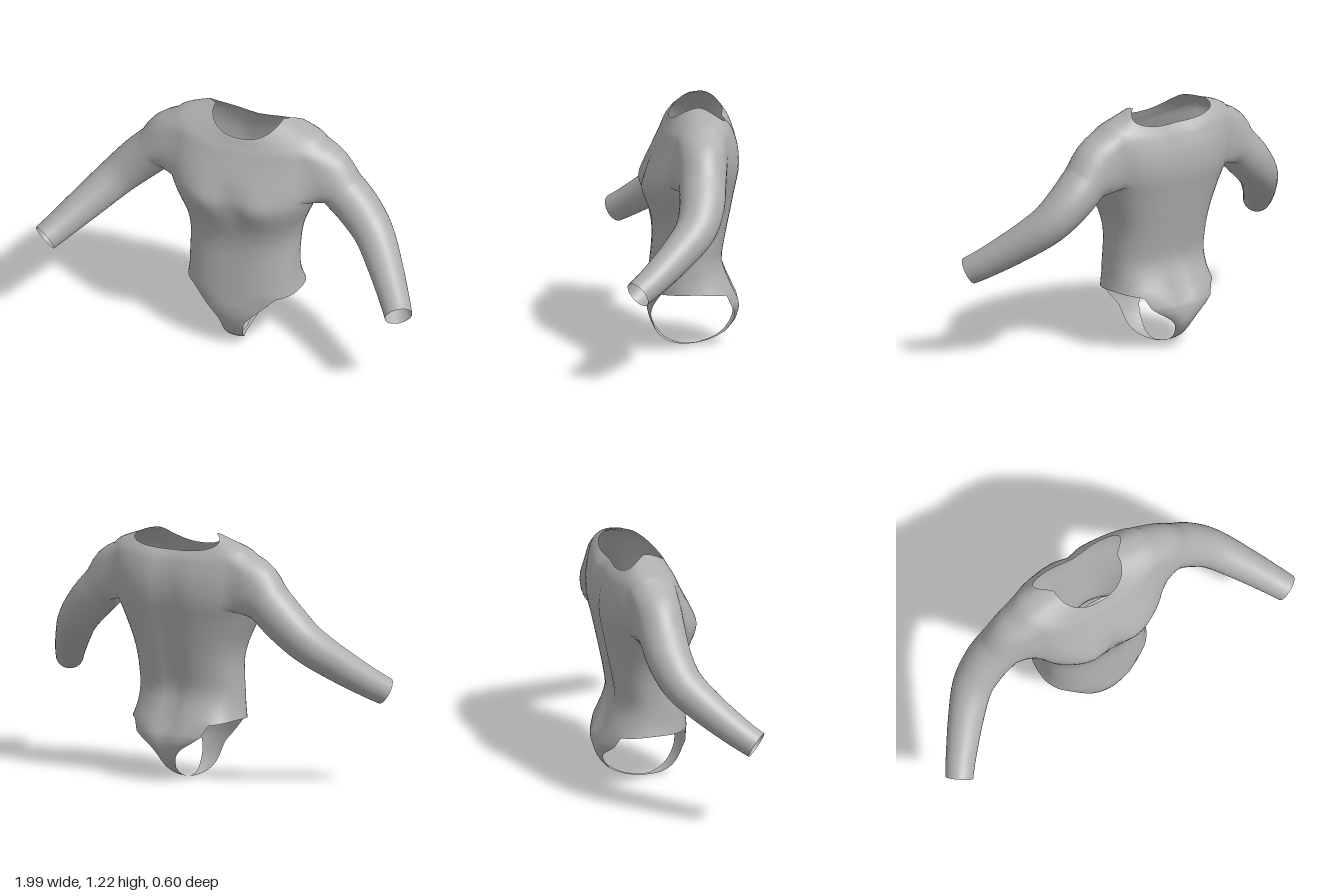
import * as THREE from 'three';

const COLS = 48; // points around the torso; 0 = left side, 12 = front, 24 = right side, 36 = back
const ARM = 5; // half width of the armhole in columns
const HOLE = [16, 24]; // first and last torso row of the armhole
const STRIP = 6; // half width of the crotch strip in columns

// Torso sections: side y, front y, back y, half width, front z, back z, back corner flare
const TORSO = [
  [0.305, 0.29, 0.275, 0.29, 0.146, -0.28, 0],
  [0.36, 0.36, 0.36, 0.279, 0.14, -0.242, 0],
  [0.44, 0.44, 0.44, 0.275, 0.132, -0.217, 0],
  [0.52, 0.52, 0.52, 0.275, 0.125, -0.226, 0],
  [0.6, 0.6, 0.6, 0.28, 0.126, -0.241, 0],
  [0.68, 0.68, 0.68, 0.3, 0.142, -0.257, 0],
  [0.76, 0.76, 0.76, 0.335, 0.166, -0.272, 0],
  [0.82, 0.82, 0.82, 0.362, 0.176, -0.284, 0],
  [0.87, 0.87, 0.87, 0.385, 0.165, -0.294, 0],
  [0.93, 0.93, 0.93, 0.4, 0.143, -0.3, 0],
  [1.0, 0.99, 0.99, 0.41, 0.115, -0.296, 0],
  [1.07, 1.04, 1.04, 0.41, 0.09, -0.286, 0],
  [1.135, 1.08, 1.08, 0.395, 0.072, -0.272, 0.01],
  [1.17, 1.1, 1.1, 0.34, 0.06, -0.264, 0.035],
  [1.195, 1.12, 1.12, 0.26, 0.05, -0.252, 0.07],
  [1.22, 1.14, 1.14, 0.18, 0.04, -0.235, 0.1],
];

// Sleeve sections: centre x, y, z, front radius, up radius
const SLEEVE = [
  [0.49, 0.9, -0.093, 0.115, 0.112],
  [0.58, 0.815, -0.085, 0.11, 0.108],
  [0.68, 0.715, -0.045, 0.1, 0.097],
  [0.785, 0.61, 0.06, 0.086, 0.086],
  [0.885, 0.513, 0.18, 0.074, 0.074],
  [0.937, 0.465, 0.25, 0.068, 0.068],
];

// Crotch strip sections from front to back: y, z, half width, inward bow, crease
const CROTCH = [
  [0.25, 0.152, 0.16, 0.035, 0],
  [0.2, 0.151, 0.115, 0.02, 0],
  [0.15, 0.141, 0.07, 0.01, 0],
  [0.1, 0.122, 0.055, 0.006, 0],
  [0.05, 0.09, 0.045, 0.004, 0],
  [0.012, 0.035, 0.027, 0.003, 0],
  [0.0, -0.05, 0.008, 0, 0],
  [0.02, -0.15, 0.012, 0, 0],
  [0.06, -0.235, 0.03, 0.006, 0.003],
  [0.12, -0.288, 0.055, 0.018, 0.008],
  [0.16, -0.304, 0.09, 0.03, 0.013],
  [0.2, -0.31, 0.145, 0.045, 0.018],
  [0.24, -0.303, 0.19, 0.052, 0.02],
];

// Smooth interpolation through a list of sections
function sample(keys, t) {
  const last = keys.length - 1;
  const i = Math.min(Math.floor(t), last - 1), f = t - i;
  const k = (n) => keys[Math.max(0, Math.min(last, n))];
  return keys[i].map((b, c) => {
    const a = k(i - 1)[c], d = k(i + 1)[c], e = k(i + 2)[c];
    return b + 0.5 * f * (d - a + f * (2 * a - 5 * b + 4 * d - e + f * (3 * (b - d) + e - a)));
  });
}

const bell = (v, width) => Math.exp(-((v / width) ** 2));
const soft = (v) => Math.sign(v) * Math.abs(v) ** 0.83;

function torsoPoint(row, col) {
  const [ys, yf, yb, w, zf, zb, flare] = sample(TORSO, row / 2);
  const a = (col / COLS) * Math.PI * 2;
  const c = Math.cos(a), s = Math.sin(a);
  const y = ys + ((s > 0 ? yf : yb) - ys) * Math.abs(s) ** 1.5;
  let x = w * soft(c);
  let z = (zf + zb) / 2 + ((zf - zb) / 2) * soft(s);
  if (s > 0) {
    // chest
    z += bell(y - 0.82, 0.09) * s * (0.016 * bell(Math.abs(x) - 0.14, 0.09) - 0.022 * bell(x, 0.06));
  } else {
    // spine groove and wide back of the neckline
    z += 0.02 * bell(x, 0.05) * s * s;
    x += flare * Math.sign(c) * Math.abs(Math.sin(2 * a));
  }
  return new THREE.Vector3(x, y, z);
}

function sleevePoint(t, phi) {
  const [x, y, z, rf, ru] = sample(SLEEVE, t);
  const end = SLEEVE.length - 1;
  const p0 = sample(SLEEVE, Math.max(0, t - 0.1)), p1 = sample(SLEEVE, Math.min(end, t + 0.1));
  const along = new THREE.Vector3(p1[0] - p0[0], p1[1] - p0[1], p1[2] - p0[2]).normalize();
  const front = new THREE.Vector3(0, 0, 1).addScaledVector(along, -along.z).normalize();
  const up = front.clone().cross(along);
  return new THREE.Vector3(x, y, z)
    .addScaledVector(front, rf * Math.cos(phi))
    .addScaledVector(up, ru * Math.sin(phi));
}

export function createModel() {
  const points = [], index = [];
  const add = (p) => points.push(p) - 1;
  const quad = (a, b, c, d) => index.push(a, b, c, a, c, d);

  // Torso rings, leaving out the two armholes
  const rows = (TORSO.length - 1) * 2;
  for (let r = 0; r <= rows; r++) for (let j = 0; j < COLS; j++) add(torsoPoint(r, j));
  const at = (r, j) => r * COLS + ((j + COLS) % COLS);
  for (let r = 0; r < rows; r++) {
    for (let j = 0; j < COLS; j++) {
      const open = r >= HOLE[0] && r < HOLE[1] && (j + ARM) % 24 < 2 * ARM;
      if (!open) quad(at(r, j), at(r + 1, j), at(r + 1, j + 1), at(r, j + 1));
    }
  }

  // Armhole edge as [row, column, angle], running bottom, front, top, back
  const edge = [];
  const [low, high] = HOLE, tall = high - low, wide = 2 * ARM, q = Math.PI / 2;
  for (let i = 0; i < wide; i++) edge.push([low, i - ARM, q * (i / wide - 1.5)]);
  for (let i = 0; i < tall; i++) edge.push([low + i, ARM, q * (i / tall - 0.5)]);
  for (let i = 0; i < wide; i++) edge.push([high, ARM - i, q * (i / wide + 0.5)]);
  for (let i = 0; i < tall; i++) edge.push([high - i, -ARM, q * (i / tall + 1.5)]);

  // Sleeves grow out of the armholes, mirrored left and right
  for (const side of [1, -1]) {
    let ring = edge.map(([r, j]) => at(r, side > 0 ? j : 24 - j));
    const grow = (place) => {
      const next = edge.map((e) => {
        const p = place(e);
        p.x *= side;
        return add(p);
      });
      for (let i = 0; i < ring.length; i++) {
        const n = (i + 1) % ring.length;
        if (side > 0) quad(ring[i], next[i], next[n], ring[n]);
        else quad(ring[i], ring[n], next[n], next[i]);
      }
      ring = next;
    };
    // shoulder blend
    for (const f of [0.25, 0.5, 0.75]) {
      grow(([r, j, phi]) => {
        const p = torsoPoint(r, j).lerp(sleevePoint(0, phi), f);
        const lift = 0.018 * Math.sin(Math.PI * f) * Math.max(0, Math.sin(phi));
        return p.add(new THREE.Vector3(lift, lift, 0));
      });
    }
    // arm
    const steps = (SLEEVE.length - 1) * 4;
    for (let k = 0; k <= steps; k++) grow(([, , phi]) => sleevePoint(k / 4, phi));
  }

  // Crotch strip from the front hem to the back hem
  const span = Array.from({ length: 2 * STRIP + 1 }, (_, i) => i - STRIP);
  const reach = soft(Math.sin((STRIP / COLS) * Math.PI * 2));
  let line = span.map((i) => at(0, 12 + i));
  const join = (next) => {
    for (let i = 0; i < 2 * STRIP; i++) quad(line[i], line[i + 1], next[i + 1], next[i]);
    line = next;
  };
  for (let k = 0; k <= (CROTCH.length - 1) * 2; k++) {
    const [y, z, w, bow, crease] = sample(CROTCH, k / 2);
    const inward = new THREE.Vector3(0, 0.2 - y, -0.08 - z).normalize();
    join(span.map((i) => {
      const f = -soft(Math.sin((i / COLS) * Math.PI * 2)) / reach;
      const depth = bow * f * f + crease * bell(f * w, 0.05);
      return add(new THREE.Vector3(f * w, y, z).addScaledVector(inward, depth));
    }));
  }
  join(span.map((i) => at(0, 36 - i)));

  const geometry = new THREE.BufferGeometry().setFromPoints(points);
  geometry.setIndex(index);
  geometry.computeVertexNormals();

  const fabric = new THREE.MeshStandardMaterial({ color: 0xb0b0b0, side: THREE.DoubleSide });
  fabric.name = 'grey fabric';
  const bodysuit = new THREE.Mesh(geometry, fabric);
  bodysuit.name = 'bodysuit';
  const group = new THREE.Group();
  group.name = 'longSleevedBodysuit';
  group.add(bodysuit);
  return group;
}
